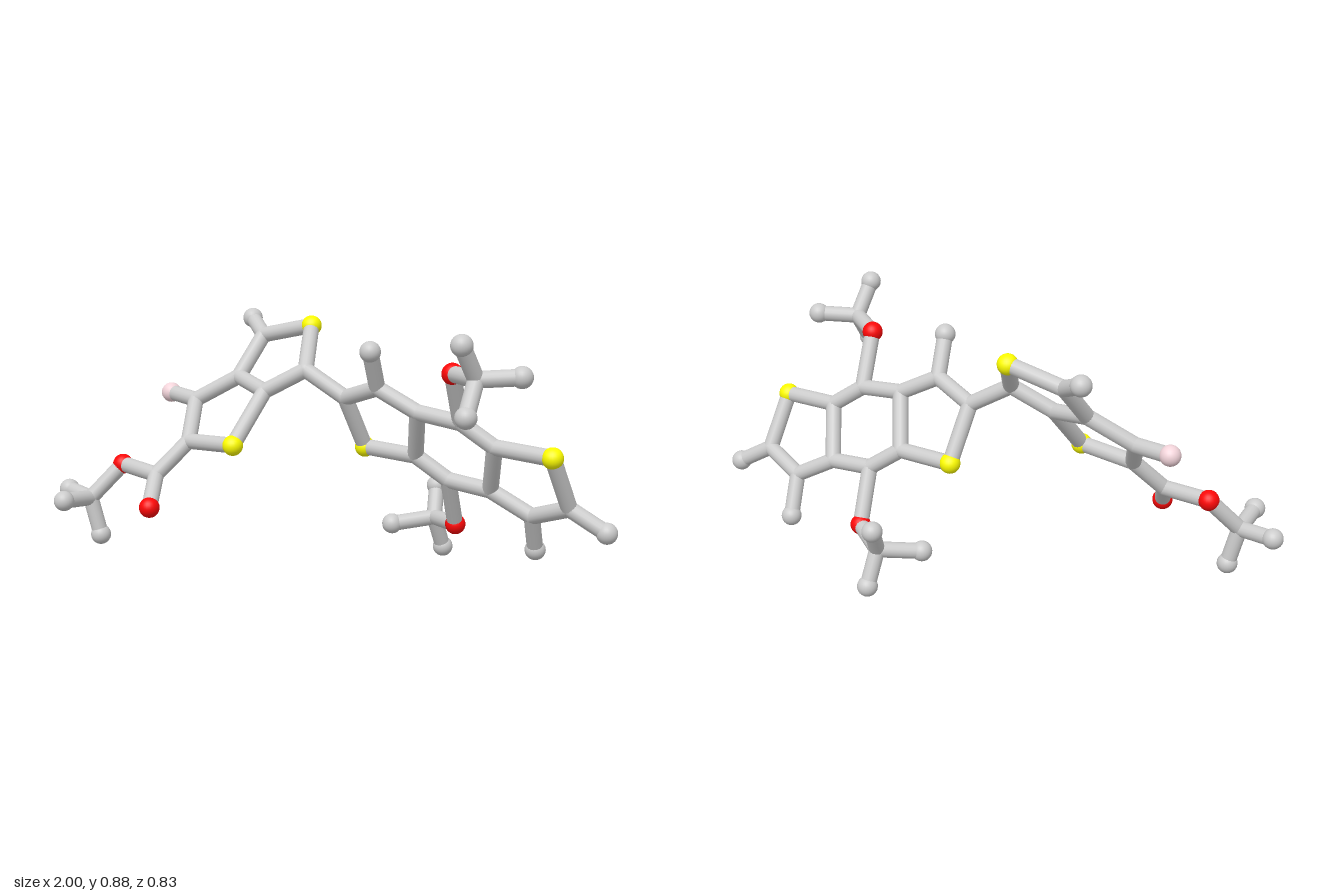
import * as THREE from 'three';

const STICK = 0.027, BALL = 0.035;
const v = (x, y, z) => new THREE.Vector3(x, y, z);

export function createModel() {
  const model = new THREE.Group();
  const mat = (color) => new THREE.MeshStandardMaterial({ color });
  const grey = mat(0xcccccc), red = mat(0xff0808), yellow = mat(0xffff00), pink = mat(0xf2d4da);
  const ballGeo = new THREE.SphereGeometry(BALL, 24, 16);
  const jointGeo = new THREE.SphereGeometry(STICK, 20, 14);

  // Flat ring systems: depth follows from the tilted plane of each half
  const leftPlane = (x, y) => v(x, y, 0.683 + 0.362 * x - 0.992 * y);
  const rightPlane = (x, y) => v(x, y, -0.399 + 0.2845 * x + 0.586 * y);
  const L = leftPlane, R = rightPlane;

  // Joints are stick-width; the other kinds carry a larger ball
  const kinds = {
    joint: [grey, jointGeo], greyBall: [grey, ballGeo], redBall: [red, ballGeo],
    yellowBall: [yellow, ballGeo], pinkBall: [pink, ballGeo],
  };

  const units = {
    leftRings: {
      joint: {
        link: L(-0.094, 0.688), a1: L(-0.335, 0.778), a2: L(-0.375, 0.643),
        a3: L(-0.237, 0.61), a4: L(-0.53, 0.556), a5: L(-0.487, 0.433),
      },
      yellowBall: { s1: L(-0.137, 0.822), s2: L(-0.286, 0.443) },
      greyBall: { tipA: v(-0.415, 0.828, -0.29) },
      pinkBall: { tipF: v(-0.66, 0.566, -0.121) },
    },
    leftTail: {
      joint: { e1: v(-0.577, 0.322, 0.15), e2: v(-0.842, 0.217, 0.149) },
      redBall: { o1: v(-0.548, 0.229, 0.252), o2: v(-0.747, 0.334, 0.083) },
      greyBall: {
        tipE1: v(-0.965, 0.228, 0.092), tipE2: v(-0.81, 0.086, 0.14), tipE3: v(-0.862, 0.232, 0.29),
      },
    },
    rightRings: {
      joint: {
        b1: R(0.052, 0.602), b2: R(0.195, 0.652), b3: R(0.335, 0.58), b4: R(0.29, 0.414),
        b5: R(0.495, 0.562), b6: R(0.605, 0.488), b7: R(0.56, 0.323), b8: R(0.402, 0.338),
        b9: R(0.843, 0.3), b10: R(0.701, 0.248),
      },
      yellowBall: { s3: v(0.086, 0.421, -0.128), s4: v(0.81, 0.478, 0.113) },
      greyBall: {
        tipB1: v(0.2, 0.781, 0.116), tipB2: v(0.965, 0.231, 0.014), tipB3: v(0.695, 0.119, -0.126),
      },
    },
    upperBranch: {
      joint: { m1: v(0.616, 0.738, 0.297) },
      redBall: { o3: v(0.498, 0.733, 0.17) },
      greyBall: {
        tipM1: v(0.592, 0.848, 0.366), tipM2: v(0.746, 0.746, 0.25), tipM3: v(0.612, 0.633, 0.379),
      },
    },
    lowerBranch: {
      joint: { n1: v(0.276, 0.152, -0.311) },
      redBall: { o4: v(0.396, 0.165, -0.185) },
      greyBall: {
        tipN1: v(0.291, 0.036, -0.363), tipN2: v(0.147, 0.133, -0.234), tipN3: v(0.26, 0.252, -0.379),
      },
    },
  };

  // Balls and joints
  const at = {};
  for (const [unitName, unit] of Object.entries(units)) {
    const group = new THREE.Group();
    group.name = unitName;
    for (const [kind, points] of Object.entries(unit)) {
      const [material, geometry] = kinds[kind];
      for (const [key, p] of Object.entries(points)) {
        const ball = new THREE.Mesh(geometry, material);
        ball.name = kind;
        ball.position.copy(p);
        at[key] = p;
        group.add(ball);
      }
    }
    model.add(group);
  }

  // Sticks follow chains of joints
  const chains = [
    'link s1 a1 a2 a3 link b1', 'a1 tipA', 'a2 a4 a5 s2 a3', 'a4 tipF',
    'a5 e1 o1', 'e1 o2 e2 tipE1', 'e2 tipE2', 'e2 tipE3',
    'b1 b2 b3 b4 s3 b1', 'b2 tipB1', 'b3 b5 b6 b7 b8 b4',
    'b6 s4 b9 b10 b7', 'b9 tipB2', 'b10 tipB3',
    'b5 o3 m1 tipM1', 'm1 tipM2', 'm1 tipM3',
    'b8 o4 n1 tipN1', 'n1 tipN2', 'n1 tipN3',
  ];
  const sticks = new THREE.Group();
  sticks.name = 'sticks';
  for (const chain of chains) {
    const keys = chain.split(' ');
    for (let i = 1; i < keys.length; i++) {
      const a = at[keys[i - 1]], b = at[keys[i]];
      const dir = b.clone().sub(a);
      const stick = new THREE.Mesh(
        new THREE.CylinderGeometry(STICK, STICK, dir.length(), 16, 1, true), grey);
      stick.name = 'stick';
      stick.position.copy(a).add(b).multiplyScalar(0.5);
      stick.quaternion.setFromUnitVectors(v(0, 1, 0), dir.normalize());
      sticks.add(stick);
    }
  }
  model.add(sticks);
  return model;
}
